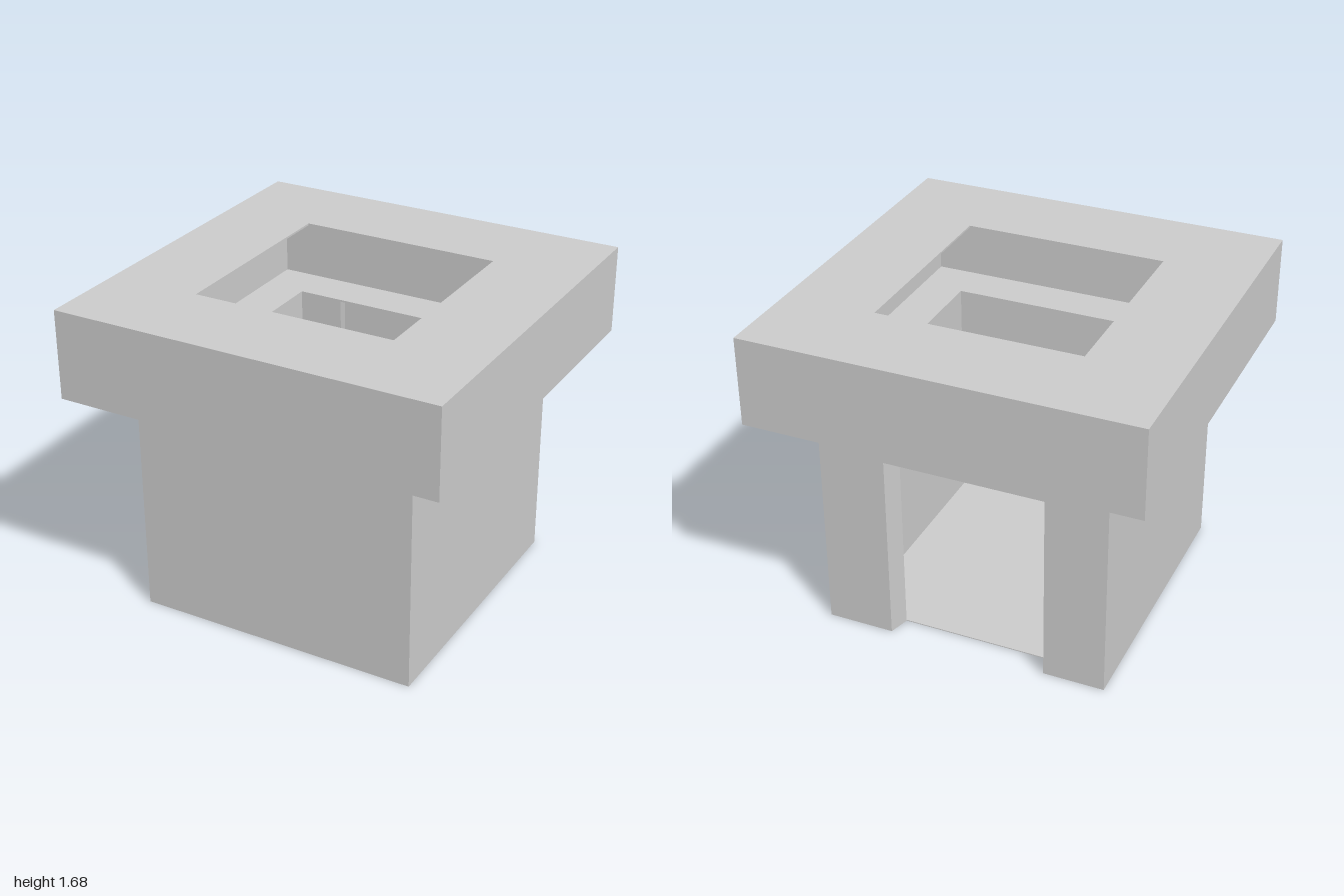
import * as THREE from 'three';

const material = new THREE.MeshStandardMaterial({ color: 0xcccccc, flatShading: true });

const OUT = 0.747, IN = 0.64;       // base wall, outer and inner half width
const CAP_Y = 1.22, TOP_Y = 1.68;   // underside and top of the cap
const SKIN = 0.01;                  // thickness of the thin sheets

// Corners of a centred square
const square = (h) => [[-h, -h], [h, -h], [h, h], [-h, h]].map(([x, y]) => new THREE.Vector2(x, y));

// Raise a plan (x, -z) upwards from y0 to y1
function raise(name, shape, y0, y1) {
  const geometry = new THREE.ExtrudeGeometry(shape, { depth: y1 - y0, bevelEnabled: false });
  geometry.rotateX(-Math.PI / 2).translate(0, y0, 0);
  const mesh = new THREE.Mesh(geometry, material);
  mesh.name = name;
  return mesh;
}

// Square slab with a square hole
function squareRing(name, outer, inner, y0, y1) {
  const shape = new THREE.Shape(square(outer));
  shape.holes.push(new THREE.Path(square(inner)));
  return raise(name, shape, y0, y1);
}

function box(name, x0, x1, y0, y1, z0, z1) {
  const mesh = new THREE.Mesh(new THREE.BoxGeometry(x1 - x0, y1 - y0, z1 - z0), material);
  mesh.name = name;
  mesh.position.set((x0 + x1) / 2, (y0 + y1) / 2, (z0 + z1) / 2);
  return mesh;
}

export function createModel() {
  const model = new THREE.Group();
  model.name = 'tower';

  // Base: walls around a hollow room, with a doorway at the back whose jambs narrow inwards
  const base = new THREE.Group();
  base.name = 'base';
  const doorL = 0.4, doorR = -0.43, doorTop = 1.01;
  const plan = new THREE.Shape([
    [-OUT, -OUT], [OUT, -OUT], [OUT, OUT], [doorL, OUT], [doorL - 0.03, IN], [IN, IN],
    [IN, -IN], [-IN, -IN], [-IN, IN], [doorR + 0.03, IN], [doorR, OUT], [-OUT, OUT],
  ].map(([x, y]) => new THREE.Vector2(x, y)));
  base.add(
    raise('baseWalls', plan, 0, CAP_Y),
    box('floor', -IN, IN, 0, SKIN / 2, -IN, IN),
    box('doorLintel', doorR, doorL, doorTop, CAP_Y, -OUT, -OUT + SKIN),
  );

  // Cap: wide hollow box, open through its top and into the room below
  const cap = new THREE.Group();
  cap.name = 'cap';
  cap.add(
    squareRing('capFloor', 1, IN, CAP_Y, CAP_Y + SKIN),
    squareRing('capWalls', 1, 0.867, CAP_Y + SKIN, TOP_Y - SKIN),
    squareRing('capRoof', 1, 0.527, TOP_Y - SKIN, TOP_Y),
  );

  model.add(base, cap);
  return model;
}
